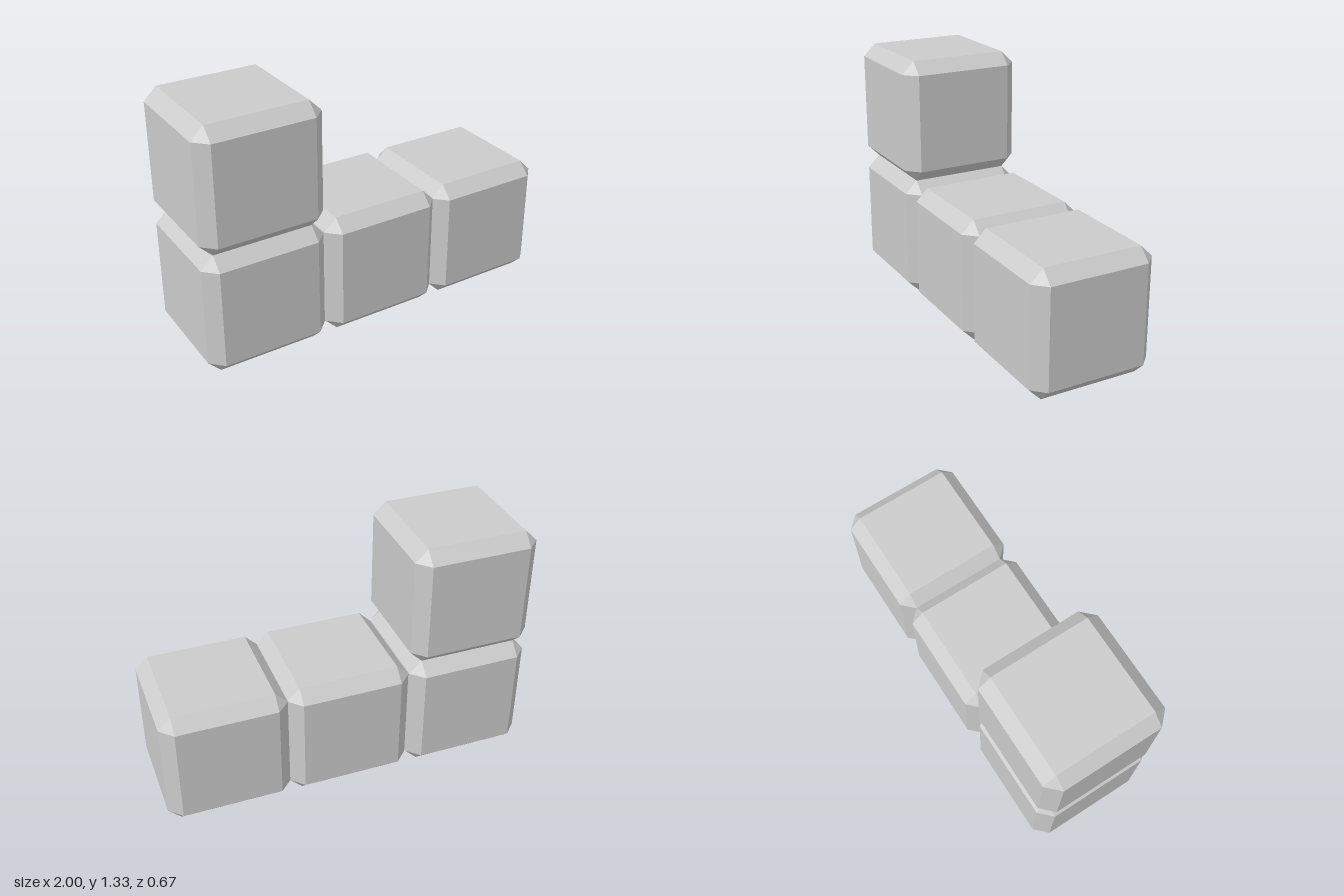
import * as THREE from 'three';
import { ConvexGeometry } from 'three/addons/geometries/ConvexGeometry.js';

const HALF = 1 / 3; // half the side of one block
const BEVEL = 0.067;

// Cube with flat bevelled edges and triangular corners
function bevelledCube() {
  const inner = HALF - BEVEL;
  const points = [];
  for (const x of [-1, 1]) for (const y of [-1, 1]) for (const z of [-1, 1]) {
    points.push(
      new THREE.Vector3(x * HALF, y * inner, z * inner),
      new THREE.Vector3(x * inner, y * HALF, z * inner),
      new THREE.Vector3(x * inner, y * inner, z * HALF)
    );
  }
  return new ConvexGeometry(points);
}

export function createModel() {
  const model = new THREE.Group();
  model.name = 'lShapedBlocks';
  const geometry = bevelledCube();
  const material = new THREE.MeshStandardMaterial({ color: 0xcccccc, flatShading: true });

  // Row of three blocks, with one stacked on the right end
  const blocks = [
    ['cornerBlock', -2 * HALF, HALF],
    ['middleBlock', 0.005, HALF],
    ['endBlock', 2 * HALF, HALF],
    ['upperBlock', -2 * HALF, 3 * HALF],
  ];
  for (const [name, x, y] of blocks) {
    const block = new THREE.Mesh(geometry, material);
    block.name = name;
    block.position.set(x, y, 0);
    model.add(block);
  }
  return model;
}
